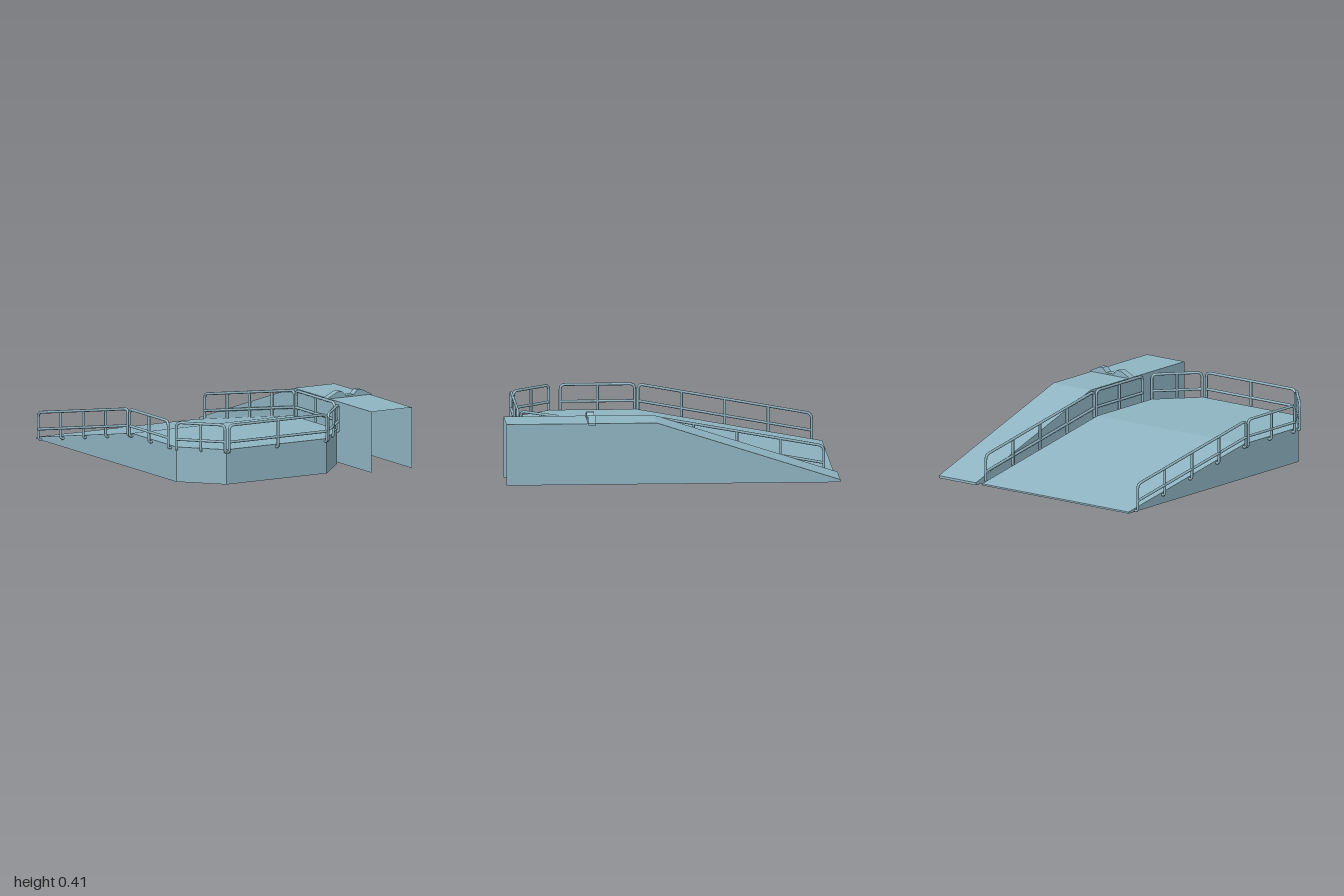
import * as THREE from 'three';

const steel = new THREE.MeshStandardMaterial({ color: 0x8fb4c2, side: THREE.DoubleSide });
steel.name = 'pale blue steel';

const V = (x, y, z) => new THREE.Vector3(x, y, z);

// Sheet-metal part made of flat convex panels (corners counter-clockwise from outside)
function sheets(name, panels) {
  const pos = [];
  for (const p of panels)
    for (let i = 1; i < p.length - 1; i++)
      for (const v of [p[0], p[i], p[i + 1]]) pos.push(v.x, v.y, v.z);
  const geo = new THREE.BufferGeometry();
  geo.setAttribute('position', new THREE.Float32BufferAttribute(pos, 3));
  geo.computeVertexNormals();
  const mesh = new THREE.Mesh(geo, steel);
  mesh.name = name;
  return mesh;
}

// Vertical walls from the ground up to each edge of the outline
function walls(name, edge) {
  return sheets(name, edge.slice(0, -1).map((a, i) => {
    const b = edge[i + 1];
    return [V(a.x, 0, a.z), V(b.x, 0, b.z), b, a];
  }));
}

// Pipe along a polyline with rounded corners
function pipe(name, pts, segments, bends) {
  const path = new THREE.CurvePath();
  let last = pts[0];
  for (let i = 1; i < pts.length - 1; i++) {
    const c = pts[i], r = bends[i - 1];
    const a = c.clone().add(pts[i - 1].clone().sub(c).setLength(r));
    const b = c.clone().add(pts[i + 1].clone().sub(c).setLength(r));
    path.add(new THREE.LineCurve3(last, a));
    path.add(new THREE.QuadraticBezierCurve3(a, c, b));
    last = b;
  }
  path.add(new THREE.LineCurve3(last, pts[pts.length - 1]));
  const mesh = new THREE.Mesh(new THREE.TubeGeometry(path, segments, 0.0085, 8), steel);
  mesh.name = name;
  return mesh;
}

// Guard rail standing outside the deck edge a-b; posts hook inward to the wall
function guardRail(name, a, b, inward, posts) {
  const g = new THREE.Group();
  g.name = name;
  const at = (p, dy) => V(p.x, p.y + dy, p.z);
  const foot = p => at(p, -0.015).add(inward);
  g.add(pipe('railHoop', [foot(a), at(a, -0.015), at(a, 0.15), at(b, 0.15), at(b, -0.015), foot(b)],
    110, [0.012, 0.032, 0.032, 0.012]));
  g.add(pipe('middleRail', [at(a, 0.048), at(b, 0.048)], 1, []));
  for (const t of posts) {
    const p = a.clone().lerp(b, t);
    g.add(pipe('railPost', [foot(p), at(p, -0.015), at(p, 0.15)], 16, [0.012]));
  }
  return g;
}

export function createModel() {
  const model = new THREE.Group();
  model.name = 'loadingRamps';

  // Wide platform: chamfered deck, slope and skirt walls, open underneath
  const H = 0.212, L = 0.01;
  const o = [V(-0.71, H, 0.13), V(-0.71, H, 0.65), V(-0.5, H, 0.88), V(0.2, H, 0.88),
    V(0.41, H, 0.65), V(0.41, H, 0.13), V(0.41, L, -0.98), V(-0.71, L, -0.98)];
  model.add(sheets('platformDeck', [o.slice(0, 6)]));
  model.add(sheets('platformSlope', [[o[0], o[5], o[6], o[7]]]));
  model.add(walls('platformWalls', [...o, o[0]]));

  // Narrow tall ramp: open at the front and underneath
  const T = 0.37, x0 = 0.44, x1 = 0.724;
  const n = [V(x1, T, 1), V(x1, T, 0.1), V(x1, 0.015, -1), V(x0, 0.015, -1), V(x0, T, 0.1), V(x0, T, 1)];
  model.add(sheets('tallRampDeck', [[n[0], n[1], n[4], n[5]]]));
  model.add(sheets('tallRampSlope', [[n[1], n[2], n[3], n[4]]]));
  model.add(walls('tallRampWalls', n));

  // Wheel chock across the tall ramp
  const profile = [[0.43, 0.362], [0.735, 0.362], [0.735, 0.373], [0.665, 0.407], [0.637, 0.407],
    [0.61, 0.38], [0.558, 0.38], [0.53, 0.407], [0.5, 0.407], [0.43, 0.373]];
  const chock = new THREE.Mesh(new THREE.ExtrudeGeometry(
    new THREE.Shape(profile.map(p => new THREE.Vector2(...p))), { depth: 0.046, bevelEnabled: false }), steel);
  chock.position.z = 0.464;
  chock.name = 'wheelChock';
  model.add(chock);

  // Guard rails: front, then mirrored pairs about the platform's centre line
  model.add(guardRail('frontRail', V(-0.49, H, 0.898), V(0.19, H, 0.898), V(0, 0, -0.02), [0.5]));
  const cx = -0.15, slopeY = z => L + (H - L) * (z + 0.98) / 1.11;
  for (const s of [-1, 1]) {
    const inward = V(-0.02 * s, 0, 0);
    model.add(guardRail('cornerRail', V(cx + s * 0.565, H, 0.657), V(cx + s * 0.36, H, 0.882),
      V(-0.0148 * s, 0, -0.0135), [0.5]));
    model.add(guardRail('sideRail', V(cx + s * 0.58, H, 0.588), V(cx + s * 0.58, H, 0.142), inward, [0.5]));
    model.add(guardRail('slopeRail', V(cx + s * 0.58, slopeY(0.122), 0.122),
      V(cx + s * 0.58, slopeY(-0.918), -0.918), inward, [0.25, 0.5, 0.75]));
  }
  return model;
}
